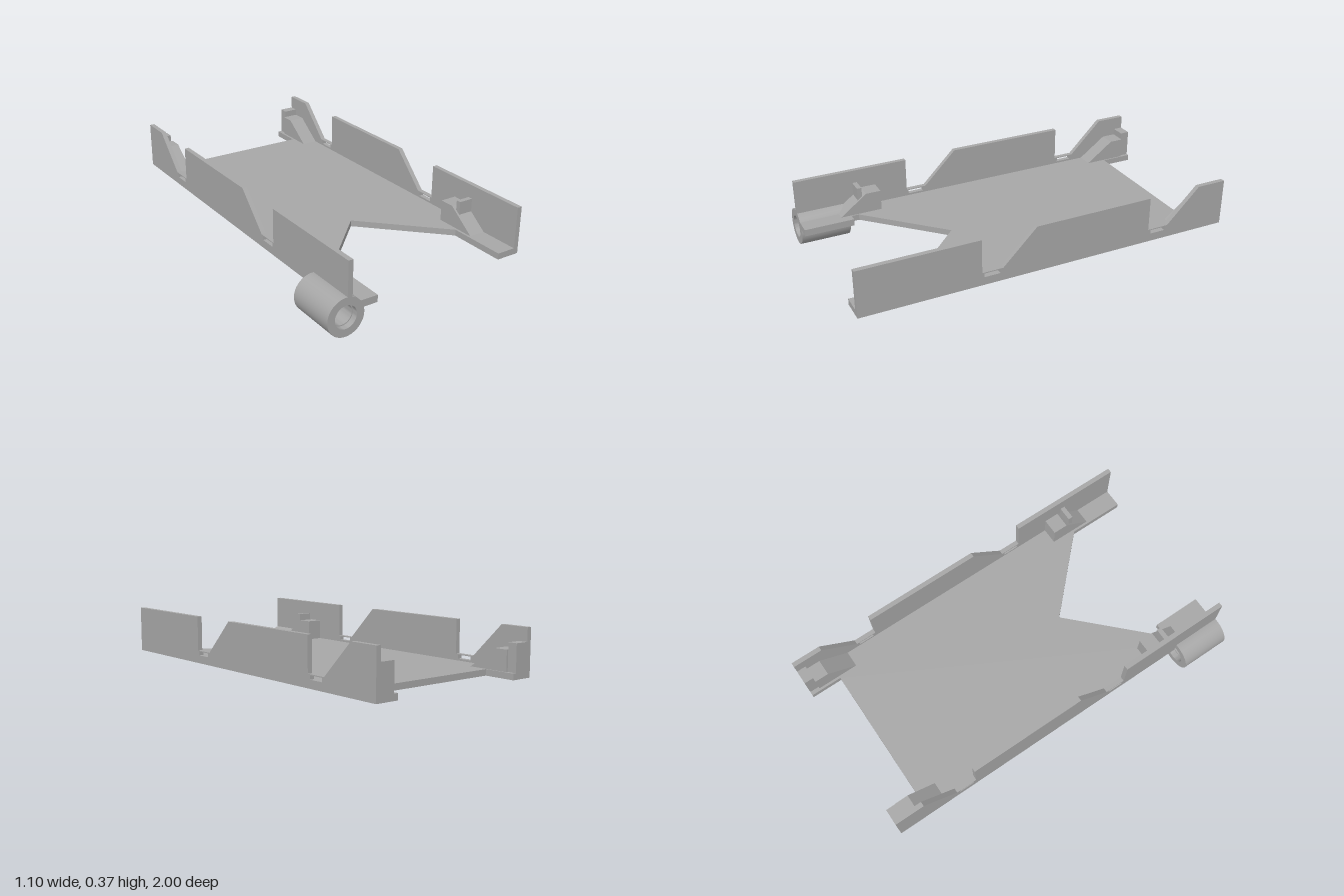
import * as THREE from 'three';
import { toCreasedNormals } from 'three/addons/utils/BufferGeometryUtils.js';

const grey = new THREE.MeshStandardMaterial({ color: 0xa6a6a6 });
grey.name = 'grey';

const FLOOR = 0.125, DECK = 0.157, TOP = 0.37, MID = 0.0525;

function add(parent, name, geometry) {
  const mesh = new THREE.Mesh(geometry, grey);
  mesh.name = name;
  parent.add(mesh);
  return mesh;
}

function box(parent, name, x0, x1, y0, y1, z0, z1) {
  const g = new THREE.BoxGeometry(x1 - x0, y1 - y0, z1 - z0);
  g.translate((x0 + x1) / 2, (y0 + y1) / 2, (z0 + z1) / 2);
  return add(parent, name, g);
}

const shapeOf = (pts) => new THREE.Shape(pts.map(([a, b]) => new THREE.Vector2(a, b)));

// Extrudes a side profile given as [z, y] from x0 to x1
function sidePlate(parent, name, pts, x0, x1, holes = []) {
  const flip = (list) => list.map(([z, y]) => [-z, y]);
  const shape = shapeOf(flip(pts));
  holes.forEach((h) => shape.holes.push(shapeOf(flip(h))));
  const g = new THREE.ExtrudeGeometry(shape, { depth: x1 - x0, bevelEnabled: false });
  g.rotateY(Math.PI / 2);
  g.translate(x0, 0, 0);
  return add(parent, name, g);
}

const slot = (z0, z1) => [[z0, 0.167], [z1, 0.167], [z1, 0.187], [z0, 0.187]];

// Wall outline with two ramped notches; the bottom differs per side
function wall(parent, name, x0, x1, bottom) {
  const pts = [
    ...bottom,
    [-1, FLOOR], [-1, TOP], [-0.84, TOP], [-0.66, 0.192], [-0.545, 0.192], [-0.545, TOP],
    [0.095, TOP], [0.275, 0.192], [0.385, 0.192], [0.385, TOP], [1, TOP],
  ];
  sidePlate(parent, name, pts, x0, x1, [slot(0.29, 0.375), slot(-0.645, -0.56)]);
}

export function createModel() {
  const model = new THREE.Group();
  model.name = 'tray';

  // Floor with a V cut in front and a recess behind
  const outline = [
    [-0.42, 1], [-0.42, -1], [-0.325, -1], [-0.325, -0.83], [0.425, -0.83], [0.425, -1],
    [0.525, -1], [0.525, 1], [0.425, 1], [0.425, 0.695], [0.05, 0.325],
    [-0.325, 0.695], [-0.325, 0.735], [-0.42, 0.735],
  ].slice(1);
  outline.push([-0.42, 0.735]);
  outline.pop();
  const floor = new THREE.ExtrudeGeometry(shapeOf(outline.map(([x, z]) => [x, -z])), {
    depth: DECK - FLOOR, bevelEnabled: false,
  });
  floor.rotateX(-Math.PI / 2);
  floor.translate(0, FLOOR, 0);
  add(model, 'floor', floor);

  // Side walls; the one beside the hinge is raised over the barrel
  wall(model, 'leftWall', 0.525, 0.55, [[1, FLOOR]]);
  wall(model, 'rightWall', -0.445, -0.42, [[1, 0.185], [0.735, 0.185], [0.735, FLOOR]]);

  // Corner clips, mirrored about the tray's middle line
  for (const side of [-1, 1]) {
    const span = (near, far) => [MID + side * near, MID + side * far].sort((a, b) => a - b);
    const [w0, w1] = span(0.385, 0.4725);
    const [n0, n1] = span(0.395, 0.4725);
    const clips = new THREE.Group();
    clips.name = side < 0 ? 'rightClips' : 'leftClips';
    model.add(clips);
    sidePlate(clips, 'frontRamp',
      [[0.565, DECK], [0.565, 0.265], [0.645, 0.265], [0.79, DECK]], w0, w1);
    box(clips, 'frontTab', n0, n1, 0.2, 0.3, 0.665, 0.69);
    sidePlate(clips, 'rearRamp',
      [[-0.95, DECK], [-0.95, 0.265], [-0.875, 0.265], [-0.725, DECK]], w0, w1);
    box(clips, 'rearPost', n0, n1, DECK, 0.3, -1, -0.95);
  }

  // Hinge barrel with a stepped bore, and the leaf joining it to the floor
  const h = 0.1325;
  const profile = [
    [0.097, -h], [0.097, h], [0.058, h], [0.058, h - 0.03], [0.053, h - 0.03],
    [0.053, -h + 0.03], [0.058, -h + 0.03], [0.058, -h], [0.097, -h],
  ].map(([r, y]) => new THREE.Vector2(r, y));
  const barrel = toCreasedNormals(new THREE.LatheGeometry(profile, 48), 0.6);
  barrel.rotateX(Math.PI / 2);
  barrel.translate(-0.453, 0.098, 1 - h);
  add(model, 'hingeBarrel', barrel);
  box(model, 'hingeLeaf', -0.375, -0.285, 0.121, DECK, 0.735, 1);

  return model;
}
